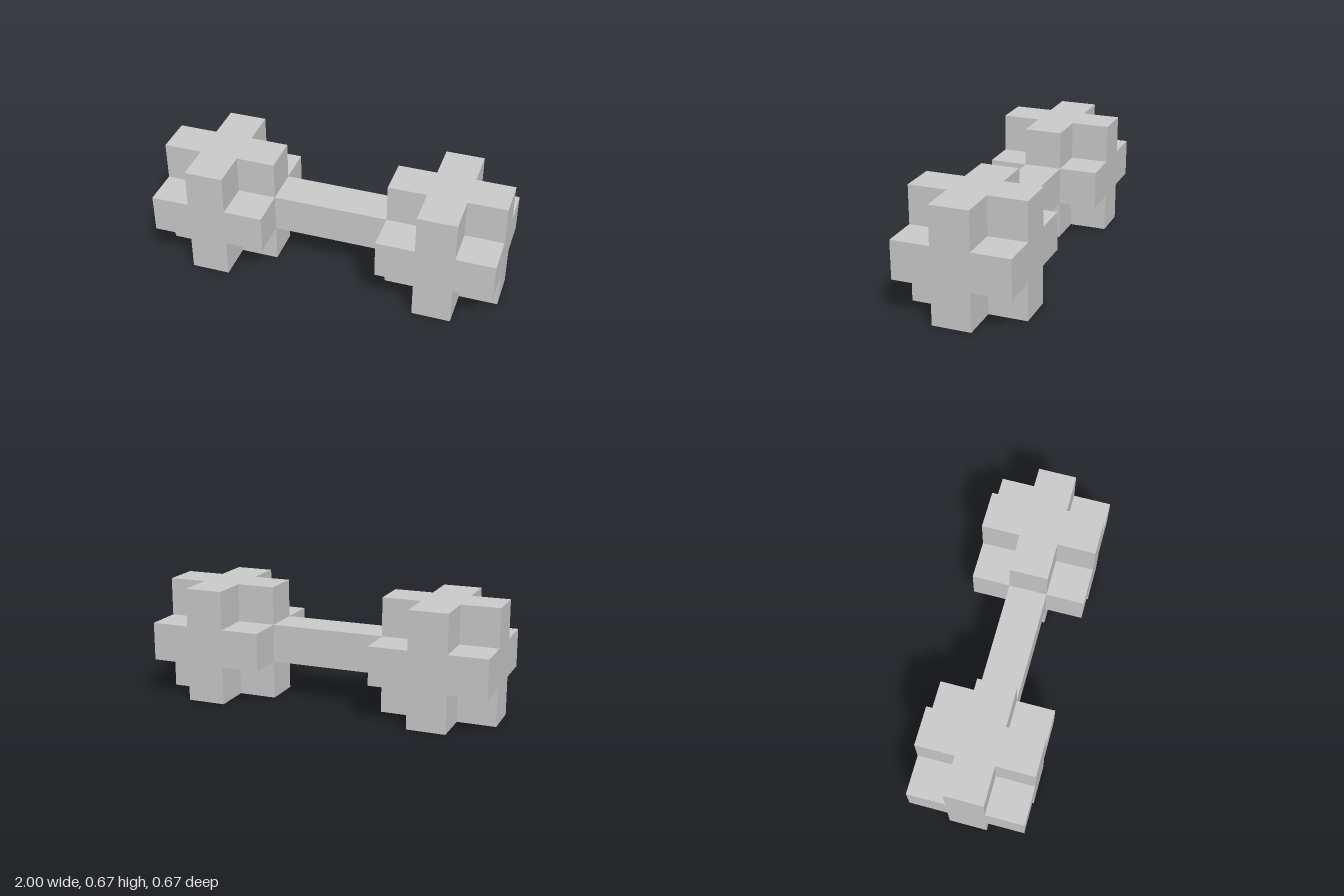
import * as THREE from 'three';
import { mergeGeometries } from 'three/addons/utils/BufferGeometryUtils.js';

const U = 2 / 9; // the whole model sits on a grid of nine units
const H = U / 2;

function polygon(points) {
  return points.map(([x, y]) => new THREE.Vector2(x * H, y * H));
}

// Cross-shaped outer face, optionally open in the middle where the bar joins
function crossFace(open) {
  const shape = new THREE.Shape(polygon([
    [-1, -3], [1, -3], [1, -1], [3, -1], [3, 1], [1, 1],
    [1, 3], [-1, 3], [-1, 1], [-3, 1], [-3, -1], [-1, -1],
  ]));
  if (open) shape.holes.push(new THREE.Path(polygon([[-1, -1], [-1, 1], [1, 1], [1, -1]])));
  return new THREE.ShapeGeometry(shape).translate(0, 0, 3 * H);
}

// One side of a head: the cross plus the four recessed corner squares
function headSide(open) {
  const parts = [crossFace(open)];
  for (const x of [-U, U]) {
    for (const y of [-U, U]) parts.push(new THREE.PlaneGeometry(U, U).translate(x, y, H));
  }
  return mergeGeometries(parts);
}

// Cube of three units a side with its eight corners notched out; +x side takes the bar
function headGeometry() {
  const sides = [];
  for (let i = 0; i < 4; i++) sides.push(headSide(i === 1).rotateY(i * Math.PI / 2));
  for (const s of [-1, 1]) sides.push(headSide(false).rotateX(s * Math.PI / 2));
  return mergeGeometries(sides);
}

export function createModel() {
  const model = new THREE.Group();
  model.name = 'dumbbell';
  const material = new THREE.MeshStandardMaterial({ color: 0xcccccc, flatShading: true });

  // Heads
  const geometry = headGeometry();
  for (const side of [-1, 1]) {
    const head = new THREE.Mesh(geometry, material);
    head.name = side > 0 ? 'leftHead' : 'rightHead';
    head.position.set(side * 3 * U, 3 * H, 0);
    if (side > 0) head.rotation.y = Math.PI;
    model.add(head);
  }

  // Square bar between the heads
  const r = H * Math.SQRT2;
  const bar = new THREE.Mesh(
    new THREE.CylinderGeometry(r, r, 3 * U, 4, 1, true, Math.PI / 4).rotateZ(Math.PI / 2),
    material,
  );
  bar.name = 'bar';
  bar.position.y = 3 * H;
  model.add(bar);

  return model;
}
